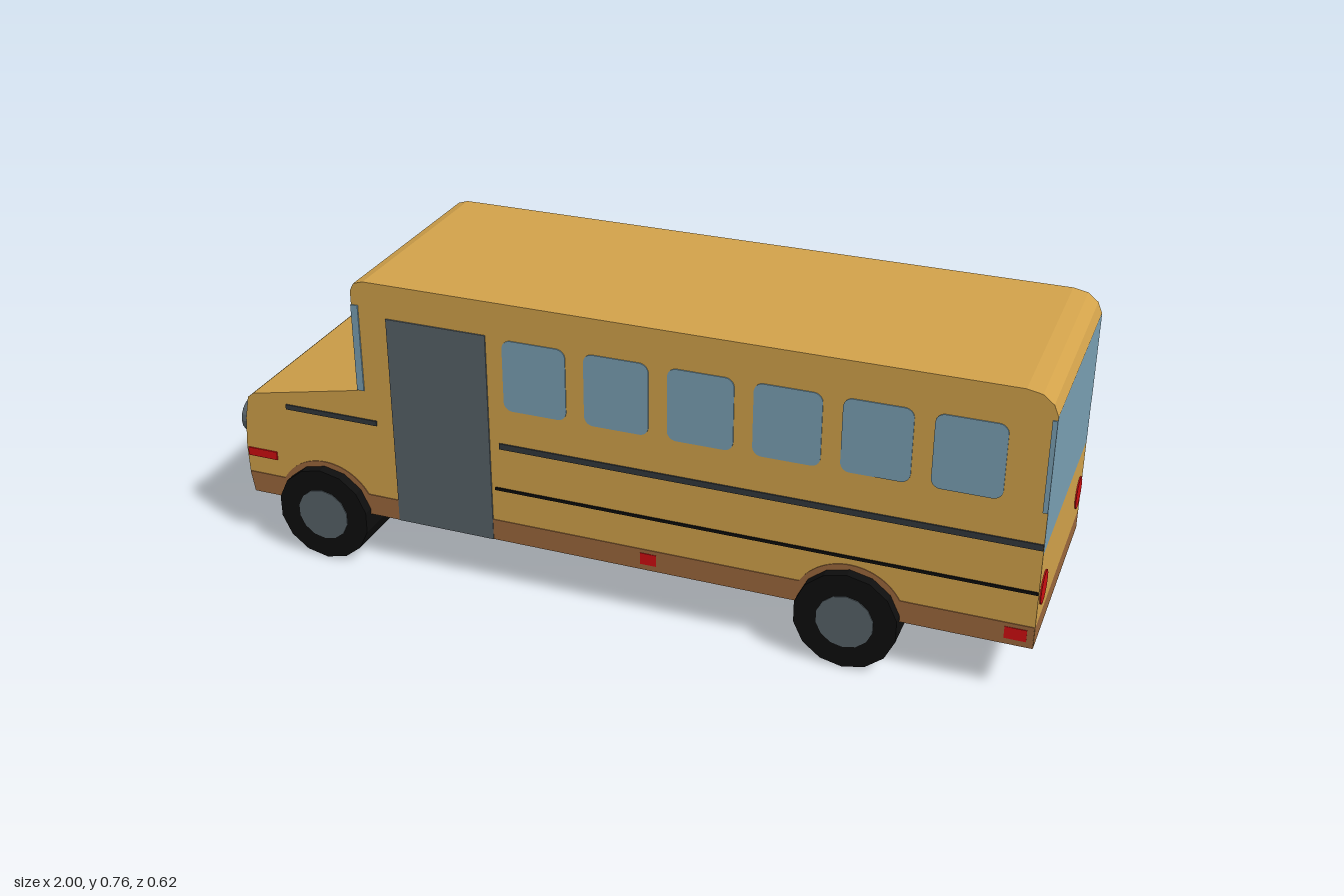
import * as THREE from 'three';

const W = 0.278; // half width of the body

export function createModel() {
  const bus = new THREE.Group();
  bus.name = 'schoolBus';

  const mat = (name, color, side = THREE.DoubleSide) => {
    const m = new THREE.MeshStandardMaterial({ color, side, flatShading: true });
    m.name = name;
    return m;
  };
  const yellow = mat('busYellow', 0xd3a34b);
  const brown = mat('skirtBrown', 0x9c683d);
  const glass = mat('glassBlue', 0x7aa0b4);
  const grey = mat('doorGrey', 0x576268);
  const dark = mat('stripeDark', 0x33383c);
  const black = mat('tyreBlack', 0x0e0e0e);
  const red = mat('lightRed', 0xd00d11);

  const add = (name, geometry, material, x = 0, y = 0, z = 0) => {
    const mesh = new THREE.Mesh(geometry, material);
    mesh.name = name;
    mesh.position.set(x, y, z);
    bus.add(mesh);
    return mesh;
  };

  // Sheet spanning the full width along a side profile
  const sheet = (name, pts, material) => {
    const v = [];
    for (let i = 0; i < pts.length - 1; i++) {
      const [a, b] = pts[i], [c, d] = pts[i + 1];
      v.push(a, b, -W, a, b, W, c, d, W, a, b, -W, c, d, W, c, d, -W);
    }
    const g = new THREE.BufferGeometry();
    g.setAttribute('position', new THREE.Float32BufferAttribute(v, 3));
    g.computeVertexNormals();
    add(name, g, material);
  };

  // Body shell, open underneath
  const noseSkirt = [[-0.975, 0.135], [-0.984, 0.19]];
  const hood = [[-0.984, 0.19], [-0.986, 0.26], [-0.98, 0.34], [-0.968, 0.4], [-0.952, 0.413], [-0.655, 0.474]];
  const windshield = [[-0.655, 0.474], [-0.655, 0.7]];
  const roof = [[-0.655, 0.7], [-0.655, 0.735], [-0.645, 0.754], [-0.62, 0.762], [0.925, 0.762],
    [0.96, 0.755], [0.985, 0.735], [0.996, 0.709]];
  const rearWindow = [[0.996, 0.709], [0.996, 0.375]];
  const rearPanel = [[0.996, 0.375], [0.996, 0.187]];
  const rearSkirt = [[0.996, 0.187], [0.996, 0.135]];
  sheet('noseSkirt', noseSkirt, brown);
  sheet('hood', hood, yellow);
  sheet('windshield', windshield, glass);
  sheet('roof', roof, yellow);
  sheet('rearWindow', rearWindow, glass);
  sheet('rearPanel', rearPanel, yellow);
  sheet('rearSkirt', rearSkirt, brown);

  const outline = [...noseSkirt, ...hood.slice(1), ...roof, ...rearSkirt.slice(1)];
  const wall = new THREE.ShapeGeometry(new THREE.Shape(outline.map(p => new THREE.Vector2(...p))));

  // Lower skirt with humps over the wheels
  const wheelX = [-0.765, 0.575];
  const skirtShape = new THREE.Shape();
  skirtShape.moveTo(-0.974, 0.135);
  skirtShape.lineTo(0.995, 0.135);
  skirtShape.lineTo(0.995, 0.19);
  for (const x of [...wheelX].reverse()) skirtShape.absarc(x, 0.122, 0.136, 0.524, Math.PI - 0.524, false);
  skirtShape.lineTo(-0.983, 0.19);
  const skirt = new THREE.ExtrudeGeometry(skirtShape, { depth: 0.004, bevelEnabled: false });
  skirt.translate(0, 0, -0.002);

  // Rounded window pane
  const paneShape = (w, h, r) => {
    const s = new THREE.Shape();
    s.absarc(w / 2 - r, h / 2 - r, r, 0, Math.PI / 2);
    s.absarc(-w / 2 + r, h / 2 - r, r, Math.PI / 2, Math.PI);
    s.absarc(-w / 2 + r, -h / 2 + r, r, Math.PI, Math.PI * 1.5);
    s.absarc(w / 2 - r, -h / 2 + r, r, Math.PI * 1.5, Math.PI * 2);
    return s;
  };
  const pane = new THREE.ExtrudeGeometry(paneShape(0.157, 0.18, 0.022),
    { depth: 0.005, bevelEnabled: false, curveSegments: 4 });
  pane.translate(0, 0, -0.0025);

  // Painted plates: name, colour, x range, y range
  const plates = [
    ['door', grey, -0.565, -0.31, 0.135, 0.677],
    ['hoodStripe', dark, -0.86, -0.61, 0.387, 0.4],
    ['upperStripe', dark, -0.285, 0.995, 0.387, 0.402],
    ['lowerStripe', black, -0.3, 0.995, 0.274, 0.281],
    ['turnSignal', red, -0.981, -0.9, 0.237, 0.259],
    ['sideMarker', red, 0.07, 0.11, 0.15, 0.18],
    ['rearMarker', red, 0.93, 0.98, 0.15, 0.18],
    ['windshieldEdge', glass, -0.655, -0.637, 0.477, 0.7],
    ['rearWindowEdge', glass, 0.985, 0.996, 0.48, 0.7],
  ];

  for (const s of [1, -1]) {
    const side = s > 0 ? 'left' : 'right';
    add(side + 'Wall', wall, yellow, 0, 0, s * W);
    add(side + 'Skirt', skirt, brown, 0, 0, s * W);
    for (const [name, m, x0, x1, y0, y1] of plates)
      add(side + name[0].toUpperCase() + name.slice(1), new THREE.BoxGeometry(x1 - x0, y1 - y0, 0.007), m,
        (x0 + x1) / 2, (y0 + y1) / 2, s * W);
    for (let i = 0; i < 6; i++)
      add(side + 'Window' + (i + 1), pane, glass, -0.19 + i * 0.202, 0.583, s * W);

    // Headlight and tail light
    const lamp = (name, r, len, m, x, y, z) => {
      add(name, new THREE.CylinderGeometry(r, r, len, 16), m, x, y, z).rotation.z = Math.PI / 2;
    };
    lamp(side + 'HeadlightRim', 0.042, 0.03, grey, -0.984, 0.325, s * 0.228);
    lamp(side + 'HeadlightLens', 0.032, 0.004, glass, -0.998, 0.325, s * 0.228);
    lamp(side + 'TailLight', 0.04, 0.006, red, 0.996, 0.263, s * 0.222);
  }

  // Wheels run the full width as one drum per axle, capped with hubs
  wheelX.forEach((x, i) => {
    const end = i ? 'rear' : 'front';
    add(end + 'Wheels', new THREE.CylinderGeometry(0.123, 0.123, 0.612, 14), black, x, 0.123, 0)
      .rotation.x = Math.PI / 2;
    for (const s of [1, -1])
      add(end + (s > 0 ? 'Left' : 'Right') + 'Hub', new THREE.CylinderGeometry(0.068, 0.068, 0.004, 14), grey,
        x, 0.123, s * 0.306).rotation.x = Math.PI / 2;
  });

  return bus;
}
